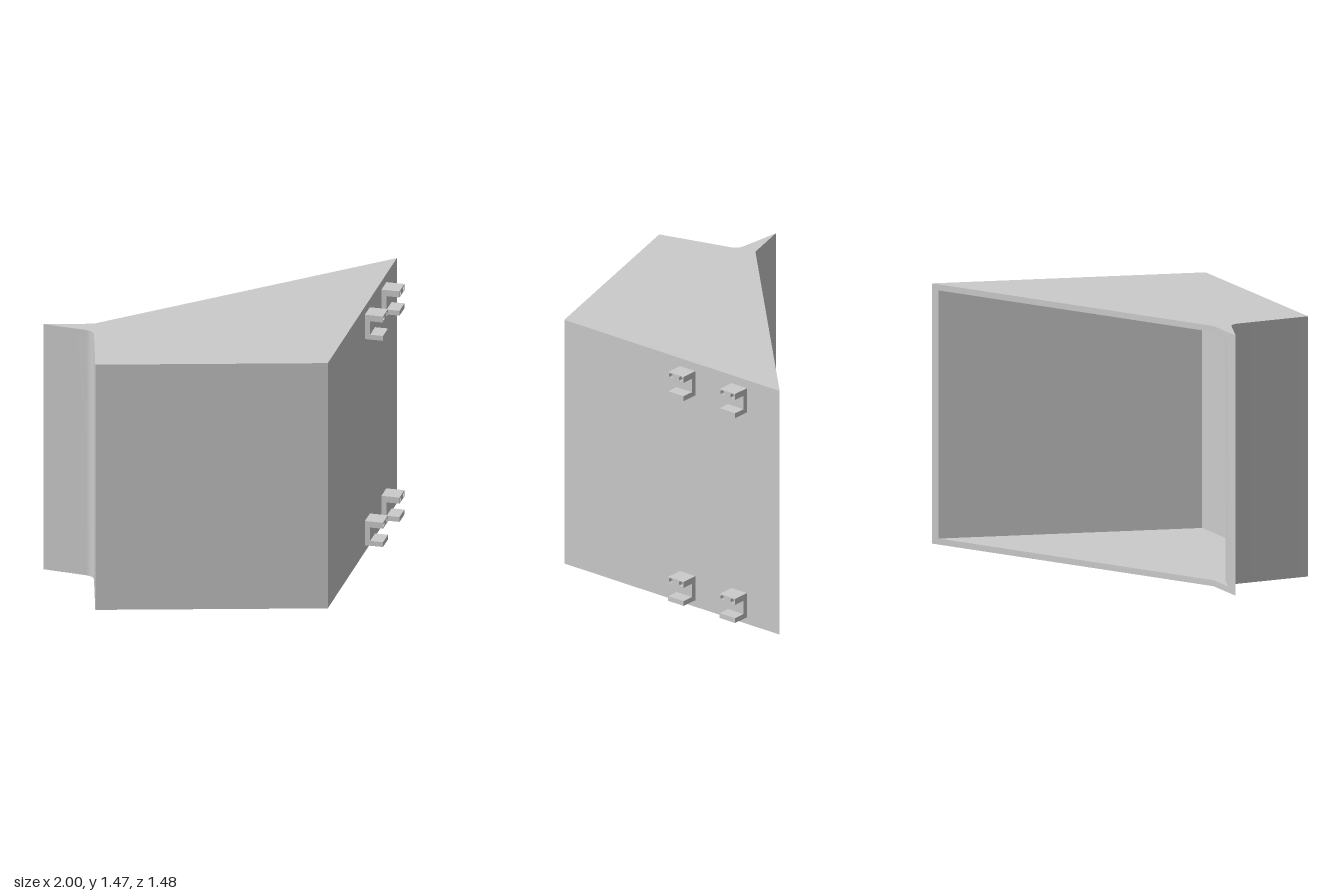
import * as THREE from 'three';
import { toCreasedNormals } from 'three/addons/utils/BufferGeometryUtils.js';

const H = 1.465;   // overall height
const T = 0.034;   // wall thickness
const material = new THREE.MeshStandardMaterial({ color: 0xcccccc });

// Plan outlines are drawn as (x, -z) and raised along y
const BACK_TIP = [0.96, 0.74], FRONT_RIGHT = [0.555, -0.74];
const FRONT_LEFT = [-0.725, -0.74], LIP_TIP = [-1, -0.16], LIP_ROOT = [-0.725, -0.16];
const LIP_ANGLE = 1.205;

// Rounded bend between the side wall and the flared lip
function bend(radius) {
  const pts = [];
  for (let i = 0; i <= 12; i++) {
    const a = (LIP_ANGLE * i) / 12;
    pts.push([-0.79 + radius * Math.cos(a), -0.31 + radius * Math.sin(a)]);
  }
  return pts;
}

function raise(points, y0, height) {
  const shape = new THREE.Shape(points.map(([x, y]) => new THREE.Vector2(x, y)));
  const g = new THREE.ExtrudeGeometry(shape, { depth: height, bevelEnabled: false });
  g.rotateX(-Math.PI / 2);
  g.translate(0, y0, 0);
  return toCreasedNormals(g, 0.5);
}

function addMesh(parent, name, geometry) {
  const m = new THREE.Mesh(geometry, material);
  m.name = name;
  parent.add(m);
  return m;
}

// Outward C-shaped clip: local x along the wall, y up, z away from the wall
function makeClip() {
  const clip = new THREE.Group();
  const w = 0.11, d = 0.103, h = 0.145, back = 0.03, low = 0.029, top = 0.036;
  const plate = addMesh(clip, 'clipBack', new THREE.BoxGeometry(w, h, back));
  plate.position.set(0, h / 2, back / 2);
  const lower = addMesh(clip, 'clipLowerArm', new THREE.BoxGeometry(w, low, d - back));
  lower.position.set(0, low / 2, (d + back) / 2);

  // Upper arm with two bored holes
  const s = new THREE.Shape();
  s.moveTo(-w / 2, -top / 2).lineTo(w / 2, -top / 2).lineTo(w / 2, top / 2).lineTo(-w / 2, top / 2).closePath();
  for (const x of [-0.036, 0.036]) {
    s.holes.push(new THREE.Path().absarc(x, 0, 0.014, 0, Math.PI * 2, true));
  }
  const arm = new THREE.ExtrudeGeometry(s, { depth: d - back, bevelEnabled: false, curveSegments: 16 });
  const upper = addMesh(clip, 'clipUpperArm', toCreasedNormals(arm, 0.6));
  upper.position.set(0, h - top / 2, back);
  return clip;
}

export function createModel() {
  const model = new THREE.Group();
  model.name = 'openBin';

  // Floor and top follow the full outline
  const outer = [BACK_TIP, LIP_ROOT, LIP_TIP, ...bend(0.065).reverse(), FRONT_LEFT, FRONT_RIGHT];
  addMesh(model, 'floor', raise(outer, 0, T));
  addMesh(model, 'topPanel', raise(outer, H - T, T));

  // Wall band, open along the slanted back
  const inner = [
    [0.919, 0.718], [0.529, -0.74 + T], [FRONT_LEFT[0] + T, -0.74 + T],
    ...bend(0.065 + T), [LIP_TIP[0] + T / 0.358, -0.16],
  ];
  const walls = [BACK_TIP, ...inner, LIP_TIP, ...bend(0.065).reverse(), FRONT_LEFT, FRONT_RIGHT];
  addMesh(model, 'walls', raise(walls, T, H - 2 * T));

  // Four clips on the slanted side wall
  const facing = Math.atan2(0.965, 0.264);
  for (const [x, z] of [[0.787, -0.108], [0.884, -0.462]]) {
    for (const y of [0.04, 1.272]) {
      const clip = makeClip();
      clip.name = 'wallClip';
      clip.position.set(x, y, z);
      clip.rotation.y = facing;
      model.add(clip);
    }
  }
  return model;
}
